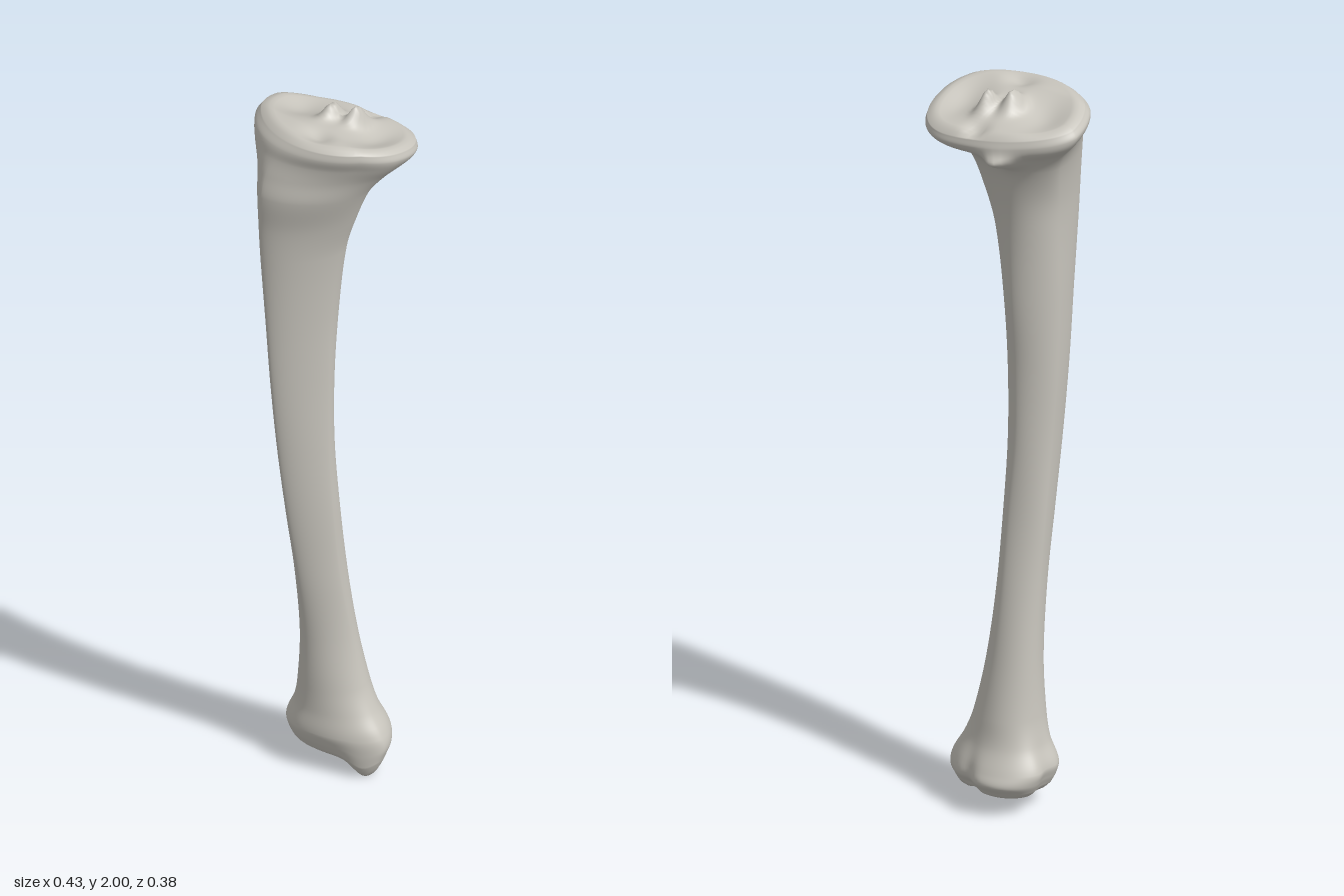
import * as THREE from 'three';
import { mergeVertices } from 'three/addons/utils/BufferGeometryUtils.js';

const SEG = 96;   // vertices around each ring
const STEPS = 7;  // rings between two cross-sections
const CAP = 18;   // rings in each end surface

// Cross-sections: y, xMin, xMax, zMin, zMax, x of front ridge, x of back, z of -x side, z of +x side,
// then the roundness of the four quadrants (1 = ellipse, 2 = straight): +x+z, -x+z, -x-z, +x-z
const ankle = [
  [0.065, -0.115, 0.158, -0.150, 0.045, -0.03, -0.01, -0.05, -0.03, 1.1, 0.85, 0.9, 1.1],
  [0.09, -0.128, 0.167, -0.170, 0.058, -0.03, -0.01, -0.05, -0.04, 1.15, 0.9, 0.95, 1.15],
  [0.12, -0.135, 0.160, -0.160, 0.066, -0.03, 0.00, -0.05, -0.04, 1.15, 0.95, 1, 1.1],
  [0.18, -0.108, 0.123, -0.130, 0.057, -0.02, 0.00, -0.04, -0.04, 1.1, 1, 1, 1],
];
const shaft = [
  [0.25, -0.090, 0.095, -0.115, 0.054, -0.02, 0.00, -0.03, -0.04, 1.1, 1, 1, 1],
  [0.4, -0.077, 0.065, -0.088, 0.057, -0.02, 0.00, -0.02, -0.03, 1.2, 1.1, 1, 1],
  [0.6, -0.073, 0.050, -0.060, 0.083, -0.02, 0.00, 0.00, 0.00, 1.35, 1.2, 1.1, 1],
  [0.8, -0.077, 0.045, -0.035, 0.112, -0.03, 0.00, 0.02, 0.02, 1.4, 1.25, 1.15, 1],
  [1.0, -0.083, 0.040, -0.022, 0.135, -0.04, -0.01, 0.04, 0.03, 1.4, 1.25, 1.2, 1],
  [1.2, -0.092, 0.040, -0.022, 0.153, -0.045, -0.01, 0.05, 0.03, 1.4, 1.2, 1.2, 1],
  [1.4, -0.098, 0.047, -0.038, 0.167, -0.05, -0.01, 0.05, 0.03, 1.35, 1.2, 1.2, 1],
  [1.6, -0.103, 0.070, -0.050, 0.180, -0.055, -0.01, 0.04, 0.02, 1.3, 1.1, 1.1, 1],
];
const head = [
  [1.7, -0.112, 0.098, -0.063, 0.185, -0.055, -0.01, 0.03, 0.01, 1.3, 1.1, 1.1, 1],
  [1.8, -0.135, 0.135, -0.090, 0.188, -0.05, 0.00, 0.00, 0.00, 1.2, 1.1, 1.05, 1],
  [1.86, -0.163, 0.168, -0.128, 0.174, -0.05, 0.03, -0.02, -0.02, 1.2, 1.1, 1.1, 0.95],
  [1.91, -0.200, 0.200, -0.172, 0.158, -0.04, 0.07, -0.04, -0.03, 1.15, 1, 1.15, 0.9],
  [1.945, -0.216, 0.216, -0.190, 0.150, -0.02, 0.09, -0.04, -0.04, 1.05, 1, 1.2, 0.9],
  [1.968, -0.205, 0.211, -0.187, 0.135, 0.00, 0.09, -0.04, -0.04, 1, 1, 1.2, 0.9],
];
const sections = [...ankle, ...shaft, ...head];

const bump = (a, b, ra, rb) => Math.exp(-((a / ra) ** 2) - (b / rb) ** 2);
const tilt = (z) => 0.25 * Math.min(0, z - 0.06);

// Smooth interpolation of all section values between section i and i + 1
function blend(i, t) {
  const at = (k) => sections[Math.min(Math.max(k, 0), sections.length - 1)];
  const [p, a, b, n] = [at(i - 1), at(i), at(i + 1), at(i + 2)];
  const h = b[0] - a[0], t2 = t * t, t3 = t2 * t;
  return a.map((v, k) => {
    if (k === 0) return v + h * t;
    const ma = (b[k] - p[k]) / (b[0] - p[0]) * h;
    const mb = (n[k] - v) / (n[0] - a[0]) * h;
    return v * (2 * t3 - 3 * t2 + 1) + ma * (t3 - 2 * t2 + t) + b[k] * (3 * t2 - 2 * t3) + mb * (t3 - t2);
  });
}

// One outline made of four quarter curves that meet at the extremes
function outline(s) {
  const [y, x0, x1, z0, z1, fx, bx, lz, rz] = s;
  return Array.from({ length: SEG }, (_, j) => {
    const a = j / SEG * Math.PI * 2, q = Math.floor(j * 4 / SEG), e = s[9 + q];
    const right = q === 0 || q === 3, front = q < 2;
    const cx = front ? fx : bx, cz = right ? rz : lz;
    const u = Math.abs(Math.cos(a)) ** e, v = Math.abs(Math.sin(a)) ** e;
    return new THREE.Vector3(cx + ((right ? x1 : x0) - cx) * u, y, cz + ((front ? z1 : z0) - cz) * v);
  });
}

// Inner ankle knob hanging below the joint
const knob = (p) => 0.052 * bump(p.x - 0.122, p.z + 0.025, 0.036, 0.05) * (1 - THREE.MathUtils.smoothstep(p.y, 0.05, 0.14));

// Local relief of the side wall
function sculpt(p) {
  const back = THREE.MathUtils.smoothstep(-p.z, 0.03, 0.1);
  // facet below the rear edge of the head
  const facet = 0.058 * bump(p.x + 0.05, p.y - 1.868, 0.042, 0.045) * back;
  // shallow grooves behind the ankle and on its outer side
  const groove = 0.014 * bump(p.x - 0.05, p.y - 0.07, 0.025, 0.08) * back;
  const notch = 0.014 * bump(p.z + 0.045, p.y - 0.1, 0.03, 0.09) * (p.x < -0.05 ? 1 : 0);
  const y = p.y;
  p.y += tilt(p.z) * THREE.MathUtils.smoothstep(y, 1.78, 1.965) - knob(p);
  p.z += groove - facet;
  p.x += notch;
  return p;
}

// Joint surface under the ankle
function ankleHeight(p, s) {
  const q = new THREE.Vector3(p.x, 0.05, p.z);
  return 0.05 + 0.013 * (1 - s) + 0.015 * Math.max(0, s - 0.9) * 10 - knob(q);
}

// Twin dished plateaus with two peaks between them
function plateauHeight(p, s) {
  const { x, z } = p;
  const y = 1.982 + tilt(z) - 0.014 * THREE.MathUtils.smoothstep(s, 0.9, 1)
    - 0.022 * bump(x + 0.11, z + 0.03, 0.06, 0.07) - 0.02 * bump(x - 0.125, z + 0.05, 0.05, 0.08)
    + 0.048 * bump(x + 0.012, z + 0.04, 0.022, 0.035) + 0.053 * bump(x - 0.045, z + 0.07, 0.02, 0.035)
    - 0.018 * bump(x - 0.04, z - 0.07, 0.04, 0.03) - 0.018 * bump(x - 0.02, z + 0.155, 0.025, 0.03);
  return Math.min(y, 2);
}

// Rings shrinking from a rim towards a centre
function capRings(rim, cx, cz, height) {
  return Array.from({ length: CAP }, (_, k) => {
    const s = 1 - (k + 1) / CAP;
    return rim.map((r) => {
      const p = new THREE.Vector3(cx + (r.x - cx) * s, 0, cz + (r.z - cz) * s);
      p.y = height(p, s);
      return p;
    });
  });
}

export function createModel() {
  const bone = new THREE.MeshStandardMaterial({ color: 0xc8c5bd });
  bone.name = 'bone grey';

  // Side wall, then both end surfaces
  const wall = [];
  for (let i = 0; i < sections.length - 1; i++)
    for (let k = 0; k < STEPS; k++) wall.push(outline(blend(i, k / STEPS)).map(sculpt));
  wall.push(outline(sections.at(-1)).map(sculpt));
  const bottom = capRings(wall[0], 0.01, -0.05, ankleHeight).reverse();
  const top = capRings(wall.at(-1), 0.01, -0.04, plateauHeight);
  const rings = [...bottom, ...wall, ...top];

  // Stitch neighbouring rings
  const index = [];
  for (let i = 0; i < rings.length - 1; i++)
    for (let j = 0; j < SEG; j++) {
      const a = i * SEG + j, b = i * SEG + (j + 1) % SEG, c = a + SEG, d = b + SEG;
      index.push(a, c, b, b, c, d);
    }
  let surface = new THREE.BufferGeometry().setFromPoints(rings.flat());
  surface.setIndex(index);
  surface = mergeVertices(surface, 1e-6);
  surface.computeVertexNormals();

  // Named parts share the smooth surface, so no seam shows between them
  const model = new THREE.Group();
  model.name = 'shinBone';
  const ends = {
    ankleJointSurface: CAP,
    ankleEnd: CAP + ankle.length * STEPS,
    shaft: CAP + (ankle.length + shaft.length) * STEPS,
    kneeEnd: CAP + wall.length - 1,
    kneePlateau: rings.length - 1,
  };
  let start = 0;
  const all = Array.from(surface.index.array);
  for (const [name, end] of Object.entries(ends)) {
    const part = new THREE.BufferGeometry();
    part.setAttribute('position', surface.attributes.position);
    part.setAttribute('normal', surface.attributes.normal);
    part.setIndex(all.slice(start * SEG * 6, end * SEG * 6));
    const mesh = new THREE.Mesh(part, bone);
    mesh.name = name;
    model.add(mesh);
    start = end;
  }
  return model;
}
